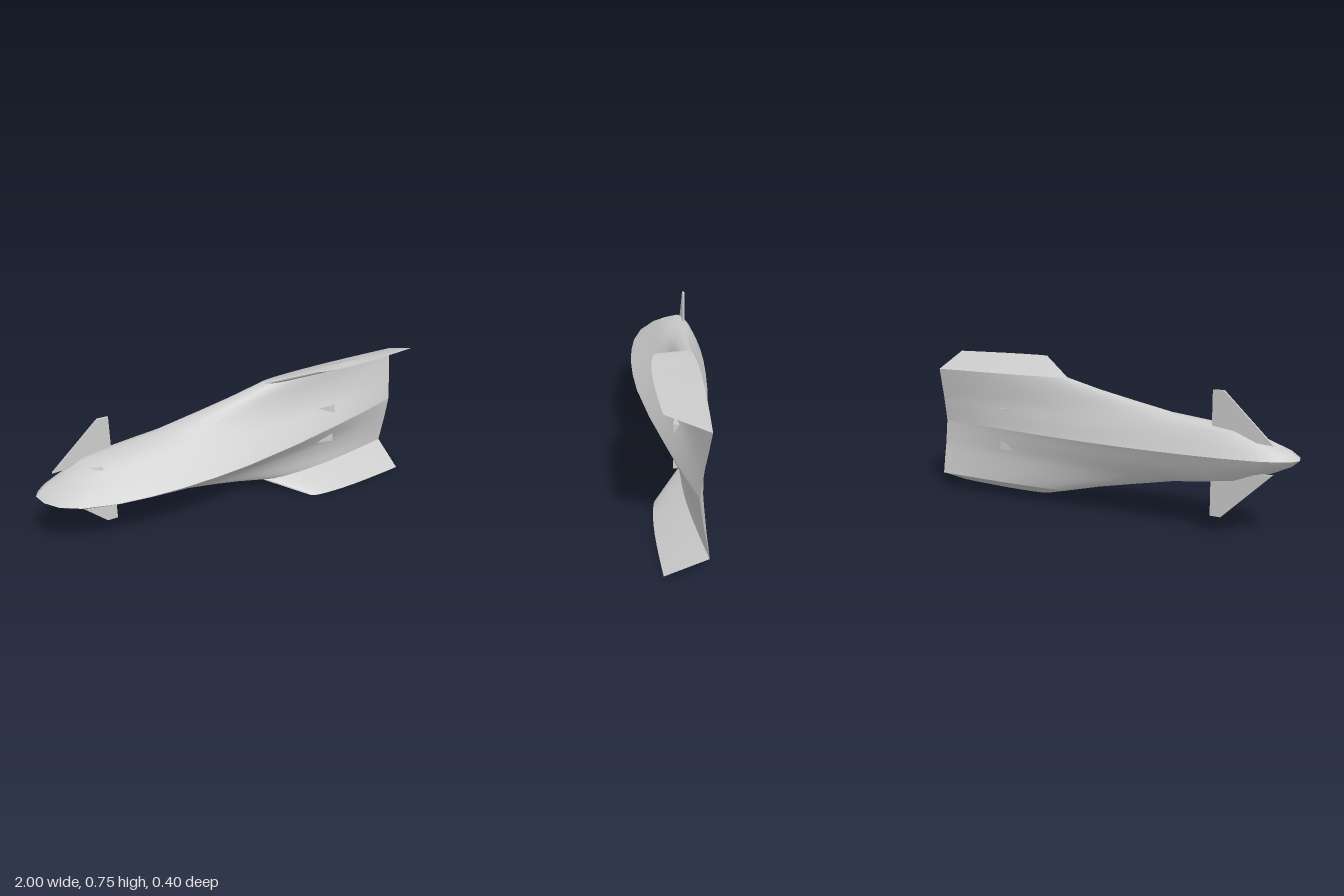
import * as THREE from 'three';
import { toCreasedNormals, mergeVertices } from 'three/addons/utils/BufferGeometryUtils.js';

const MID = 0.375; // height of the plane of symmetry
const material = new THREE.MeshStandardMaterial({ color: 0xcccccc, side: THREE.DoubleSide });

// Aerofoil thickness from leading (t = 0) to trailing edge (t = 1)
const T = [0, 0.01, 0.035, 0.08, 0.16, 0.24, 0.32, 0.41, 0.5, 0.65, 0.8, 0.9, 1];
const F = [0, 0.27, 0.52, 0.74, 0.91, 0.98, 1, 0.97, 0.9, 0.69, 0.42, 0.22, 0];

// Sections: d = distance from mid plane, x = leading edge, le / te = edge z, a / b = bulge to front / back
const section = (d, x, le, te, a, b) => ({ d, x, le, te, a, b });
const hullSections = [
  section(0, -1, -0.045, -0.078, 0.253, 0.143),
  section(0.03, -0.965, -0.05, -0.082, 0.222, 0.125),
  section(0.06, -0.9, -0.06, -0.085, 0.191, 0.107),
  section(0.09, -0.83, -0.066, -0.09, 0.162, 0.088),
  section(0.115, -0.77, -0.072, -0.093, 0.137, 0.072),
  section(0.138, -0.605, -0.076, -0.096, 0.115, 0.058),
  section(0.16, -0.42, -0.079, -0.1, 0.098, 0.047),
  section(0.208, -0.18, -0.082, -0.109, 0.075, 0.034),
  section(0.245, 0, -0.084, -0.115, 0.067, 0.028),
  section(0.292, 0.19, -0.085, -0.123, 0.057, 0.022),
];
const wingletSections = [hullSections.at(-1), section(0.375, 0.42, 0.075, 0.065, 0.028, 0.025)];

// Closed loop around one section: along the front, back along the rear
function ring({ d, x, le, te, a, b }) {
  const point = (i, bulge) =>
    [x + (1 - x) * T[i], MID + d, le + (te - le) * T[i] + bulge * F[i]];
  const front = T.map((_, i) => point(i, a));
  const back = T.map((_, i) => point(i, -b)).slice(1, -1).reverse();
  return [...front, ...back];
}

function loft(sections, capTip) {
  const rings = sections.map(ring), n = rings[0].length, index = [];
  rings.slice(1).forEach((_, r) => {
    for (let i = 0; i < n; i++) {
      const p = r * n + i, q = r * n + (i + 1) % n;
      index.push(p, q, q + n, p, q + n, p + n);
    }
  });
  if (capTip) {
    const o = (rings.length - 1) * n;
    for (let i = 0; i < T.length - 1; i++) {
      const back = o + (n - i) % n, nextBack = o + n - i - 1;
      index.push(o + i, o + i + 1, nextBack, o + i, nextBack, back);
    }
  }
  return indexed(rings.flat(2), index);
}

function indexed(positions, index) {
  const g = new THREE.BufferGeometry();
  g.setAttribute('position', new THREE.Float32BufferAttribute(positions, 3));
  g.setIndex(index);
  return g;
}

// Four-cornered wedge, corners given as [x, d, z]: apex, then base triangle
function wedge(points) {
  return indexed(points.flatMap(([x, d, z]) => [x, MID + d, z]),
    [0, 2, 1, 0, 3, 2, 0, 1, 3, 1, 2, 3]);
}

// Thin upright nose fin
function finGeometry() {
  const s = new THREE.Shape([[-0.9, 0.065], [-0.66, 0.294], [-0.607, 0.294], [-0.607, 0.09]]
    .map(([x, d]) => new THREE.Vector2(x, MID + d)));
  return new THREE.ExtrudeGeometry(s, { depth: 0.012, bevelEnabled: false }).translate(0, 0, -0.108);
}

// Mirror a geometry in the mid plane, turning its faces the right way round
function mirrored(geometry) {
  const g = geometry.index ? geometry.toNonIndexed() : geometry.clone();
  g.scale(1, -1, 1).translate(0, 2 * MID, 0);
  for (const a of Object.values(g.attributes)) {
    for (let i = 0; i < a.count; i += 3) {
      for (let k = 0; k < a.itemSize; k++) {
        const v = a.getComponent(i + 1, k);
        a.setComponent(i + 1, k, a.getComponent(i + 2, k));
        a.setComponent(i + 2, k, v);
      }
    }
  }
  return g;
}

export function createModel() {
  const model = new THREE.Group();
  model.name = 'spacecraft';

  const addPair = (name, geometry, crease = 0.45) => {
    [['upper', geometry], ['lower', mirrored(geometry)]].forEach(([side, source]) => {
      const g = source.clone();
      g.deleteAttribute('normal');
      g.deleteAttribute('uv');
      const mesh = new THREE.Mesh(toCreasedNormals(mergeVertices(g), crease), material);
      mesh.name = side + name;
      model.add(mesh);
    });
  };

  // Lifting-body hull, ridged along the mid plane
  addPair('Hull', loft(hullSections, false));
  // Outer winglets swept towards the front
  addPair('Winglet', loft(wingletSections, true));
  // Nose fins
  addPair('NoseFin', finGeometry());
  // Small thruster fairings on both faces of the hull
  addPair('FrontRearThruster', wedge([
    [0.45, 0.105, -0.005], [0.585, 0.11, 0.008], [0.585, 0.11, -0.035], [0.585, 0.065, 0.008]]));
  addPair('BackRearThruster', wedge([
    [0.45, 0.105, -0.125], [0.585, 0.11, -0.132], [0.585, 0.065, -0.132], [0.585, 0.11, -0.1]]));
  addPair('NoseThruster', wedge([
    [-0.75, 0.108, 0], [-0.69, 0.11, 0.03], [-0.69, 0.11, -0.02], [-0.69, 0.09, 0.035]]));

  return model;
}
